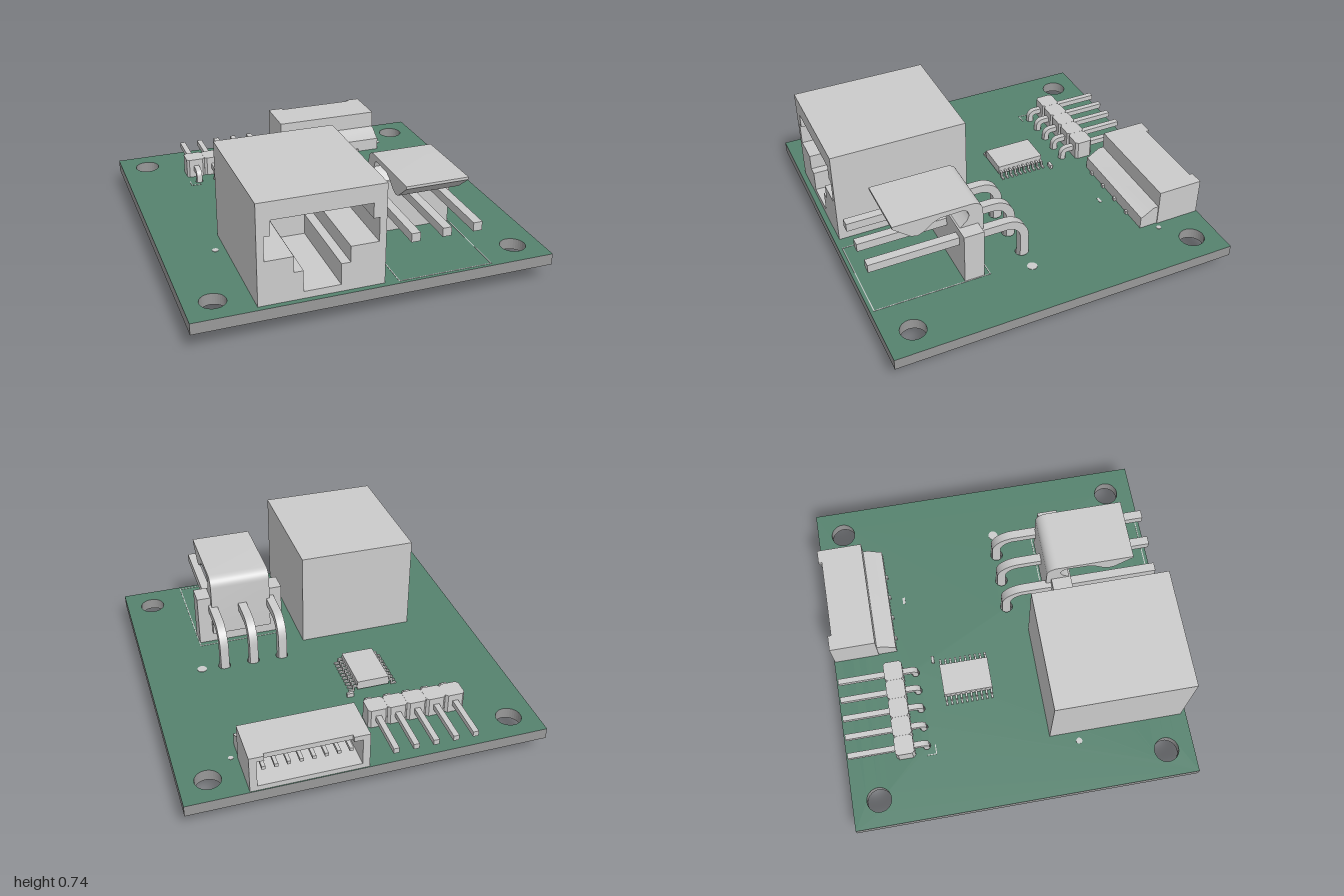
import * as THREE from 'three';
import { toCreasedNormals } from 'three/addons/utils/BufferGeometryUtils.js';

const grey = new THREE.MeshStandardMaterial({ color: 0xcccccc });
const green = new THREE.MeshStandardMaterial({ color: 0x55826e });
const edgeGrey = new THREE.MeshStandardMaterial({ color: 0x999999 });
const TOP = 0.17, BOTTOM = 0.105;

function add(parent, name, geometry, material = grey) {
  const mesh = new THREE.Mesh(geometry, material);
  mesh.name = name;
  parent.add(mesh);
  return mesh;
}

function group(parent, name) {
  const g = new THREE.Group();
  g.name = name;
  parent.add(g);
  return g;
}

// Box given by its limits on each axis
function box(parent, name, x0, x1, y0, y1, z0, z1) {
  const g = new THREE.BoxGeometry(x1 - x0, y1 - y0, z1 - z0);
  g.translate((x0 + x1) / 2, (y0 + y1) / 2, (z0 + z1) / 2);
  return add(parent, name, g);
}

const outline = (pts) => new THREE.Shape(pts.map(([a, b]) => new THREE.Vector2(a, b)));

// Side profile of [z, y] points, extruded along x
function sideExtrude(parent, name, pts, x0, x1) {
  const g = new THREE.ExtrudeGeometry(outline(pts.map(([z, y]) => [-z, y])), { depth: x1 - x0, bevelEnabled: false });
  g.rotateY(Math.PI / 2).translate(x0, 0, 0);
  return add(parent, name, toCreasedNormals(g, 0.6));
}

// Front profile of [x, y] points with an optional hole, extruded along z
function frontExtrude(parent, name, pts, hole, z0, z1) {
  const shape = outline(pts);
  if (hole) shape.holes.push(outline(hole));
  const g = new THREE.ExtrudeGeometry(shape, { depth: z1 - z0, bevelEnabled: false });
  return add(parent, name, g.translate(0, 0, z0));
}

const rect = (x0, x1, y0, y1) => [[x0, y0], [x1, y0], [x1, y1], [x0, y1]];

// Square pin: horizontal run, rounded bend, vertical leg through the board
function bentPin(parent, x, w, y, zLeg, zEnd, R, yLow) {
  const h = w / 2, s = Math.sign(zEnd - zLeg), c = R - h, yc = y + h - R;
  const pts = [[-h, yLow]];
  const arc = (r, i) => {
    const a = Math.PI * (1 - i / 16);
    pts.push([c + r * Math.cos(a), yc + r * Math.sin(a)]);
  };
  for (let i = 0; i <= 8; i++) arc(R, i);
  const end = Math.abs(zEnd - zLeg);
  pts.push([end, y + h], [end, y - h]);
  for (let i = 8; i >= 0; i--) arc(R - w, i);
  pts.push([h, yLow]);
  sideExtrude(parent, 'bentPin', pts.map(([u, v]) => [zLeg + s * u, v]), x - h, x + h);
}

const powerX = [0.195, 0.37, 0.545];
const headerX = [0, 1, 2, 3, 4].map((i) => -0.58 + i * 0.1125);

function buildBoard(root) {
  const shape = outline(rect(-1, 1, -1, 1));
  const hole = (x, z, r) => shape.holes.push(new THREE.Path().absarc(x, -z, r, 0, Math.PI * 2, true));
  for (const x of [-0.845, 0.845]) for (const z of [-0.845, 0.84]) hole(x, z, 0.071);
  powerX.forEach((x) => hole(x, 0.08, 0.036));
  headerX.forEach((x) => hole(x, -0.53, 0.023));
  const g = new THREE.ExtrudeGeometry(shape, { depth: TOP - BOTTOM, bevelEnabled: false, curveSegments: 16 });
  g.rotateX(-Math.PI / 2).translate(0, BOTTOM, 0);
  add(root, 'board', g, [green, edgeGrey]);

  // Printed outlines and dots
  const marks = group(root, 'boardMarkings');
  const strip = (x0, x1, z0, z1) => box(marks, 'markLine', x0, x1, TOP, TOP + 0.002, z0, z1);
  for (const x of [0.105, 0.636]) strip(x, x + 0.005, 0.31, 0.98);
  for (const z of [0.31, 0.975]) strip(0.105, 0.641, z, z + 0.005);
  strip(-0.64, -0.635, -0.535, -0.48);
  strip(-0.64, -0.58, -0.483, -0.478);
  strip(0.32, 0.36, -0.54, -0.525);
  for (const [x, z, r] of [[-0.705, 0.35, 0.018], [0.68, 0.08, 0.028], [0.695, -0.72, 0.014]])
    add(marks, 'markDot', new THREE.CylinderGeometry(r, r, 0.003, 20)).position.set(x, TOP + 0.001, z);
}

function buildSocket(root) {
  const g = group(root, 'networkSocket');
  const cx = -0.31;
  // Stepped opening, mirrored about the socket's centre
  const half = [[0.10, 0.21], [0.10, 0.33], [0.15, 0.33], [0.15, 0.42], [0.302, 0.42], [0.302, 0.555], [0.268, 0.555], [0.268, 0.64]];
  const hole = [...half.map(([x, y]) => [cx + x, y]), ...half.slice().reverse().map(([x, y]) => [cx - x, y])];
  frontExtrude(g, 'socketShell', rect(-0.65, 0.03, TOP, 0.74), hole, 0.4, 0.97);
  box(g, 'socketBack', -0.65, 0.03, TOP, 0.74, 0.185, 0.4);
  for (let i = 0; i < 8; i++) {
    const x = cx + (i - 3.5) * 0.046;
    sideExtrude(g, 'socketContact', [[0.92, 0.64], [0.9, 0.64], [0.55, 0.55], [0.55, 0.565]], x - 0.009, x + 0.009);
    const px = cx + (3.5 - i) * 0.06, pz = i % 2 ? 0.36 : 0.24;
    box(g, 'socketLead', px - 0.01, px + 0.01, 0.035, TOP, pz - 0.01, pz + 0.01);
  }
  for (const x of [cx - 0.25, cx + 0.25])
    add(g, 'socketPeg', new THREE.LatheGeometry([[0, 0.02], [0.045, 0.02], [0.062, 0.07], [0.062, TOP]]
      .map(([r, y]) => new THREE.Vector2(r, y)), 12)).position.set(x, 0, 0.64);
  g.children.filter((m) => m.name === 'socketPeg').forEach((m) => { m.geometry = toCreasedNormals(m.geometry, 0.4); });
}

function buildPowerHeader(root) {
  const g = group(root, 'latchedPowerHeader');
  box(g, 'headerBody', 0.12, 0.635, TOP, 0.48, 0.345, 0.46);
  // Spine rising from the body and curling forward into the latch
  const arc = [];
  for (let i = 0; i <= 8; i++) {
    const a = (i / 8) * Math.PI / 2;
    arc.push([0.375 - 0.06 * Math.sin(a), 0.56 + 0.06 * Math.cos(a)]);
  }
  sideExtrude(g, 'latch', [[0.82, 0.62], ...arc, [0.315, 0.24], [0.36, 0.24], [0.36, 0.45], [0.45, 0.45], [0.45, 0.48],
    [0.41, 0.515], [0.395, 0.55], [0.405, 0.58], [0.43, 0.593], [0.56, 0.588], [0.6, 0.57], [0.65, 0.53], [0.685, 0.515],
    [0.72, 0.523], [0.82, 0.605]], 0.2, 0.555);
  powerX.forEach((x) => bentPin(g, x, 0.05, 0.405, 0.075, 0.97, 0.13, 0));
}

function buildPinHeader(root) {
  const g = group(root, 'angledPinHeader');
  for (const x of headerX) {
    // Chamfered block per pin
    const w = 0.056, c = 0.014, z0 = -0.71, z1 = -0.6;
    const shape = outline([[x - w, -z1 - -c], [x - w + c, -z1], [x + w - c, -z1], [x + w, -z1 + c],
      [x + w, -z0 - c], [x + w - c, -z0], [x - w + c, -z0], [x - w, -z0 - c]]);
    const geo = new THREE.ExtrudeGeometry(shape, { depth: 0.115, bevelEnabled: false });
    add(g, 'pinBlock', geo.rotateX(-Math.PI / 2).translate(0, TOP, 0));
    bentPin(g, x, 0.032, 0.229, -0.53, -0.985, 0.045, 0.04);
  }
}

function buildRearConnector(root) {
  const g = group(root, 'rearConnector');
  const x0 = 0.02, x1 = 0.66;
  frontExtrude(g, 'connectorShell', rect(x0, x1, TOP, 0.39), rect(0.06, 0.62, 0.2, 0.36), -0.975, -0.73);
  // Rear rim, with its top cut away in the middle
  frontExtrude(g, 'connectorRim', [[x0, TOP], [x1, TOP], [x1, 0.39], [0.58, 0.39], [0.58, 0.36], [0.62, 0.36], [0.62, 0.2],
    [0.06, 0.2], [0.06, 0.36], [0.11, 0.36], [0.11, 0.39], [x0, 0.39]], null, -0.995, -0.975);
  sideExtrude(g, 'connectorFoot', [[-0.75, TOP], [-0.75, 0.29], [-0.7, 0.29], [-0.63, 0.245], [-0.62, 0.245], [-0.62, TOP]], x0 + 0.005, x1 - 0.005);
  box(g, 'connectorBackWall', 0.05, 0.63, 0.19, 0.37, -0.75, -0.73);
  for (let i = 0; i < 8; i++) {
    const x = 0.34 + (i - 3.5) * 0.067, z = i % 2 ? -0.717 : -0.617;
    box(g, 'connectorContact', x - 0.01, x + 0.01, 0.26, 0.28, -0.95, -0.75);
    box(g, 'connectorLead', x - 0.01, x + 0.01, 0.045, TOP + 0.02, z - 0.01, z + 0.01);
  }
}

function buildChips(root) {
  const chip = group(root, 'controllerChip');
  box(chip, 'chipBody', -0.312, -0.125, 0.18, 0.232, -0.382, -0.095);
  for (let i = 0; i < 10; i++) {
    const z = -0.238 + (i - 4.5) * 0.03;
    for (const s of [-1, 1]) {
      const at = (name, a, b, y0, y1) => {
        const p = -0.2185 + s * a, q = -0.2185 + s * b;
        box(chip, name, Math.min(p, q), Math.max(p, q), y0, y1, z - 0.006, z + 0.006);
      };
      at('chipLeadShoulder', 0.09, 0.12, 0.195, 0.206);
      at('chipLeadLeg', 0.11, 0.12, TOP, 0.206);
      at('chipLeadFoot', 0.11, 0.143, TOP, 0.18);
    }
  }
  box(root, 'topCapacitor', -0.09, -0.05, TOP, 0.195, -0.425, -0.408);

  // Small parts under the board: two-terminal chips and three-legged parts
  const under = group(root, 'undersideParts');
  for (const [x, z] of [[0.167, -0.094], [0.04, -0.083], [-0.388, 0.065], [-0.528, -0.073], [-0.655, -0.06]]) {
    box(under, 'chipResistor', x - 0.022, x + 0.022, 0.082, BOTTOM, z - 0.035, z + 0.035);
    for (const s of [-1, 1]) box(under, 'resistorEnd', x - 0.024, x + 0.024, 0.079, BOTTOM, z + s * 0.035 - 0.01, z + s * 0.035 + 0.01);
  }
  for (const [x, z] of [[0.0, -0.25], [-0.238, 0.015], [-0.495, -0.27], [-0.765, 0.247]]) {
    box(under, 'transistorBody', x - 0.035, x + 0.035, 0.055, 0.097, z - 0.022, z + 0.022);
    for (const [dx, s] of [[-0.024, -1], [0.024, -1], [0, 1]])
      box(under, 'transistorLeg', x + dx - 0.008, x + dx + 0.008, 0.088, BOTTOM, z + s * 0.03 - 0.014, z + s * 0.03 + 0.014);
  }
}

export function createModel() {
  const root = new THREE.Group();
  root.name = 'circuitBoard';
  buildBoard(root);
  buildSocket(root);
  buildPowerHeader(root);
  buildPinHeader(root);
  buildRearConnector(root);
  buildChips(root);
  return root;
}
